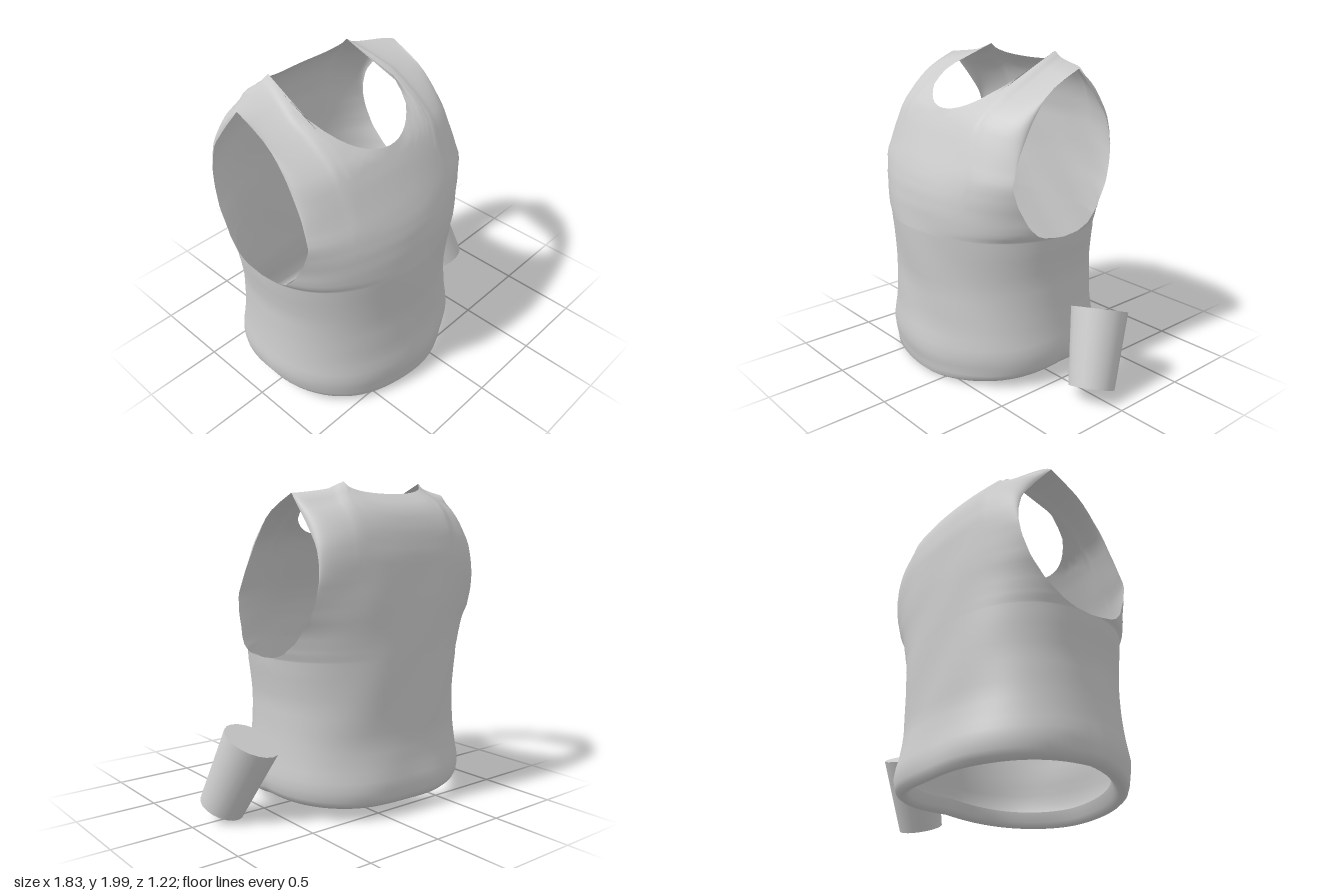
import * as THREE from 'three';
import { mergeVertices } from 'three/addons/utils/BufferGeometryUtils.js';

const { lerp, smoothstep } = THREE.MathUtils;

// piecewise profile lookup: list of [y, value]
function profile(points, y) {
  if (y <= points[0][0]) return points[0][1];
  for (let i = 1; i < points.length; i++) {
    const [y0, a] = points[i - 1], [y1, b] = points[i];
    if (y <= y1) return a + (b - a) * (y - y0) / (y1 - y0);
  }
  return points[points.length - 1][1];
}

const ARMPIT = 0.96, SHOULDER = 1.93, NECK_TOP = 2.0, SEAM = 1.96, SEAM_POWER = 2.2;
const COLS = 48, LOW_ROWS = 16, HIGH_ROWS = 28;
const NECK_R = Math.sin(Math.PI * 37.5 / 180);

// half width of the body by height
const halfWidth = [[0, 0.68], [0.1, 0.69], [0.22, 0.71], [0.35, 0.69], [0.5, 0.675], [0.7, 0.667], [0.85, 0.685],
  [0.94, 0.7], [1.02, 0.69], [1.1, 0.67], [1.2, 0.655], [1.35, 0.635], [1.5, 0.62], [1.7, 0.61]];

// depth at the centre line, depth along the armhole edge, roundness of each panel
const panels = {
  front: {
    sign: 1, power: 2.1, hem: -0.09, neck: 1.68,
    centre: [[0, 0.56], [0.1, 0.6], [0.2, 0.61], [0.35, 0.585], [0.6, 0.575], [0.96, 0.6], [1.1, 0.592], [1.2, 0.575],
      [1.28, 0.55], [1.36, 0.515], [1.45, 0.47], [1.55, 0.42], [1.65, 0.36], [1.75, 0.23], [1.84, 0.05], [1.9, -0.1],
      [SEAM, -0.3]],
    edge: [[0.96, 0], [0.975, 0.13], [1.0, 0.2], [1.06, 0.26], [1.2, 0.33], [1.32, 0.36], [1.48, 0.3], [1.66, 0.2],
      [1.8, 0.1], [1.88, 0], [SEAM, -0.18]],
  },
  back: {
    sign: -1, power: 2.5, hem: -0.02, neck: 1.93,
    centre: [[0.05, -0.58], [0.1, -0.6], [0.2, -0.61], [0.3, -0.585], [0.45, -0.56], [0.96, -0.56], [1.3, -0.56],
      [1.55, -0.55], [1.7, -0.52], [1.8, -0.475], [1.87, -0.4], [1.9, -0.34], [SEAM, -0.3]],
    edge: [[0.96, 0], [0.97, -0.12], [1.0, -0.2], [1.08, -0.3], [1.22, -0.4], [1.35, -0.445], [1.45, -0.46],
      [1.55, -0.45], [1.65, -0.42], [1.8, -0.31], [SEAM, -0.18]],
  },
};

// height of the shoulder seam, then of the panel's top border
function seamTop(r) {
  const t = Math.max(0, (r - NECK_R) / (1 - NECK_R));
  return lerp(NECK_TOP, SHOULDER, Math.sqrt(t));
}
function topBorder(panel, r) {
  if (r >= NECK_R) return seamTop(r);
  const k = Math.sqrt(Math.max(0, 1 - (r / NECK_R) ** 2));
  return lerp(NECK_TOP, panel.neck, k);
}

// depth of a panel: a rounded section cut off at the armhole, easing into the shoulder seam
function depth(panel, look, r, power) {
  const centre = profile(panel.centre, look), edge = profile(panel.edge, look);
  const ratio = Math.min(1, Math.max(0, edge / centre));
  const cut = centre * Math.max(0, 1 - (1 - ratio ** power) * r ** power) ** (1 / power);
  const blend = edge + (centre - edge) * Math.max(0, 1 - r ** power) ** (1 / power);
  return lerp(cut, blend, smoothstep(look, 1.35, 1.75));
}

// hem rows curl inward: [scale, height above the hem]
const hemRows = [[0.84, 0.09], [0.87, 0.03], [0.91, 0.003], [0.95, 0], [0.985, 0.02]];

function addPanel(panel, positions, indices) {
  const start = positions.length / 3;
  const rows = hemRows.length + LOW_ROWS + HIGH_ROWS;
  for (let j = 0; j < rows; j++) {
    for (let i = 0; i <= COLS; i++) {
      const s = Math.sin((i / COLS - 0.5) * Math.PI), r = Math.min(1, Math.abs(s));
      const round = Math.sqrt(1 - r * r);
      const hem = 0.1 + panel.hem * round;
      const low = j - hemRows.length, high = low - LOW_ROWS + 1;
      let y, look, scale = 1, fade = 1;
      if (low < 0) {
        scale = hemRows[j][0];
        y = hem + hemRows[j][1];
        look = Math.max(y, 0.1);
      } else if (high <= 0) {
        y = look = lerp(hem + 0.05, ARMPIT, low / (LOW_ROWS - 1));
      } else {
        const v = (high / HIGH_ROWS) ** 1.4;
        y = lerp(ARMPIT, topBorder(panel, r), v);
        look = ARMPIT + (y - ARMPIT) / (seamTop(r) - ARMPIT) * (SEAM - ARMPIT);
        fade = 1 - v;
      }
      // soft cloth folds that vanish at the seams
      const fold = 0.006 * fade * round * Math.sin(7 * s + 6 * y) * Math.sin(5 * y + 1);
      const z = depth(panel, look, r, lerp(SEAM_POWER, panel.power, fade)) + fold;
      // the collar closes in towards the top of the neck
      const collar = 1 - 0.18 * smoothstep(look, 1.86, SEAM) * Math.min(1, (1 - r) / (1 - NECK_R));
      positions.push(s * profile(halfWidth, y) * scale * collar, y, z * scale);
    }
  }
  const w = COLS + 1;
  for (let j = 0; j < rows - 1; j++) {
    for (let i = 0; i < COLS; i++) {
      const a = start + j * w + i, b = a + 1, c = a + w, d = c + 1;
      if (panel.sign > 0) indices.push(a, b, d, a, d, c);
      else indices.push(a, d, b, a, c, d);
    }
  }
}

// sleeveless top: front and back panels joined at the sides and shoulders
function makeTop() {
  const positions = [], indices = [];
  addPanel(panels.front, positions, indices);
  addPanel(panels.back, positions, indices);
  let geometry = new THREE.BufferGeometry();
  geometry.setAttribute('position', new THREE.Float32BufferAttribute(positions, 3));
  geometry.setIndex(indices);
  geometry = mergeVertices(geometry, 1e-4);
  geometry.computeVertexNormals();
  const mesh = new THREE.Mesh(geometry, new THREE.MeshStandardMaterial({ color: 0xcccccc, side: THREE.DoubleSide }));
  mesh.name = 'sleevelessTop';
  mesh.position.x = -0.205;
  return mesh;
}

// tapered wrist cuff hanging beside the top
function makeCuff() {
  const bottom = new THREE.Vector3(0.78, 0.08, 0.03), top = new THREE.Vector3(0.67, 0.505, -0.14);
  const axis = top.clone().sub(bottom);
  const mesh = new THREE.Mesh(
    new THREE.CylinderGeometry(0.175, 0.14, axis.length(), 20),
    new THREE.MeshStandardMaterial({ color: 0xcccccc }));
  mesh.name = 'wristCuff';
  mesh.position.copy(bottom).add(top).multiplyScalar(0.5);
  mesh.quaternion.setFromUnitVectors(new THREE.Vector3(0, 1, 0), axis.normalize());
  return mesh;
}

export function createModel() {
  const group = new THREE.Group();
  group.name = 'topAndCuff';
  group.add(makeTop(), makeCuff());
  return group;
}
